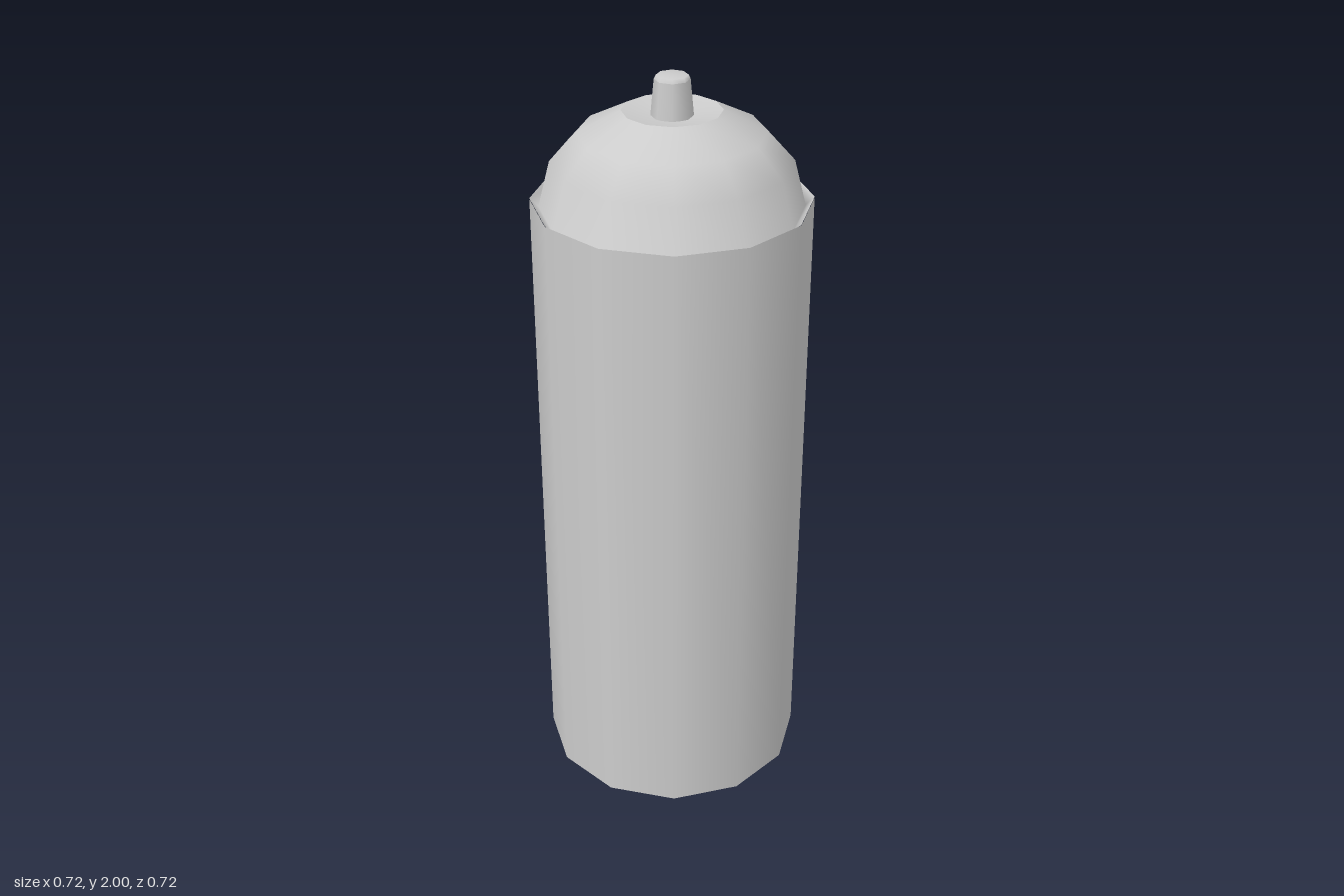
import * as THREE from 'three';

const material = new THREE.MeshStandardMaterial({ color: 0xcccccc });

// Turned part; profile runs from the underside outwards and up to the top.
function turned(name, profile, sides) {
  const points = profile.map(([r, y]) => new THREE.Vector2(r, y));
  const mesh = new THREE.Mesh(new THREE.LatheGeometry(points, sides), material);
  mesh.name = name;
  return mesh;
}

export function createModel() {
  const can = new THREE.Group();
  can.name = 'sprayCan';

  // Recessed underside
  can.add(turned('basePanel', [[0, 0.11], [0.32, 0.1]], 12));
  can.add(turned('baseBevel', [[0.32, 0.1], [0.36, 0]], 12));

  // Straight wall
  can.add(turned('body', [[0.36, 0], [0.36, 1.68]], 12));

  // Shoulder dome, seated in a shallow groove inside the rim
  can.add(turned('shoulder', [
    [0.36, 1.682], [0.338, 1.66], [0.307, 1.78], [0.238, 1.856], [0.127, 1.912],
  ], 12));

  // Slightly dished top around the valve
  can.add(turned('valveCup', [[0.127, 1.912], [0.05, 1.898], [0, 1.898]], 12));

  // Tapered nozzle with a softened tip
  can.add(turned('nozzle', [[0.054, 1.895], [0.045, 1.99]], 8));
  can.add(turned('nozzleTip', [[0.045, 1.99], [0.04, 2], [0, 2]], 8));

  return can;
}
